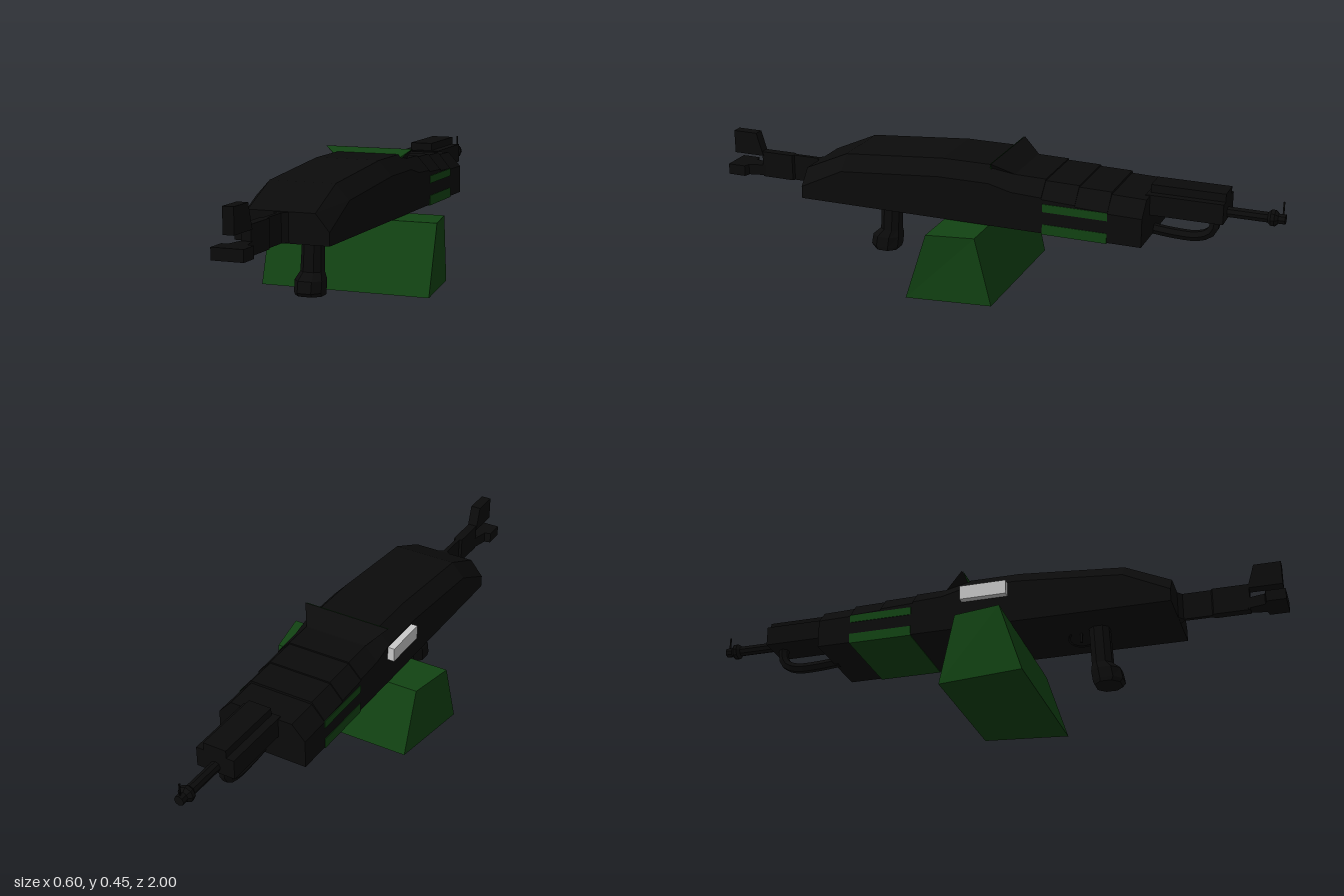
import * as THREE from 'three';

const BLACK = new THREE.MeshStandardMaterial({ color: 0x0b0b0b, flatShading: true, side: THREE.DoubleSide });
const GREEN = new THREE.MeshStandardMaterial({ color: 0x124413, flatShading: true });
const GREY = new THREE.MeshStandardMaterial({ color: 0xcccccc, flatShading: true });

// Skin a row of rings (each counter-clockwise seen from the last ring) and cap both ends
function loft(rings) {
  const pos = [];
  const tri = (...pts) => pts.forEach((p) => pos.push(...p));
  const n = rings[0].length;
  for (let i = 0; i < rings.length - 1; i++) {
    for (let j = 0; j < n; j++) {
      const k = (j + 1) % n;
      tri(rings[i][j], rings[i][k], rings[i + 1][k]);
      tri(rings[i][j], rings[i + 1][k], rings[i + 1][j]);
    }
  }
  const first = rings[0], last = rings[rings.length - 1];
  for (let j = 1; j < n - 1; j++) {
    tri(first[0], first[j + 1], first[j]);
    tri(last[0], last[j], last[j + 1]);
  }
  const g = new THREE.BufferGeometry();
  g.setAttribute('position', new THREE.Float32BufferAttribute(pos, 3));
  g.computeVertexNormals();
  return g;
}

export function createModel() {
  const model = new THREE.Group();
  const gun = new THREE.Group();
  gun.name = 'gun';
  gun.position.x = -0.008;
  model.add(gun);

  const add = (name, geometry, material = BLACK, parent = gun) => {
    const mesh = new THREE.Mesh(geometry, material);
    mesh.name = name;
    parent.add(mesh);
    return mesh;
  };
  // Box given by its limits on each axis
  const box = (name, [x0, x1], [y0, y1], [z0, z1], material) =>
    add(name, new THREE.BoxGeometry(x1 - x0, y1 - y0, z1 - z0), material)
      .position.set((x0 + x1) / 2, (y0 + y1) / 2, (z0 + z1) / 2);

  // Ammunition box: a tapered block, narrower at the back
  add('ammoBox', loft([
    [0, 0.185, -0.105], [0.235, 0.11, -0.05],
  ].map(([y, front, back]) => {
    const w = y ? 0.27 : 0.26;
    return [[-0.3, y, front], [0.3, y, front], [w, y, back], [-w, y, back]];
  })), GREEN, model);

  // Body: chamfered sections [z, top, shoulder], stepping down towards the muzzle
  const sections = [
    [-0.575, 0.385, 0.335], [-0.46, 0.388, 0.337], [-0.46, 0.396, 0.34], [-0.35, 0.398, 0.345],
    [-0.35, 0.403, 0.35], [-0.235, 0.405, 0.355], [-0.235, 0.41, 0.36], [-0.13, 0.412, 0.365],
    [-0.05, 0.435, 0.385], [0.13, 0.435, 0.385], [0.49, 0.405, 0.355], [0.645, 0.335, 0.28],
  ];
  add('body', loft(sections.map(([z, top, s]) => {
    const h = 0.158, t = 0.112;
    return [[-h, 0.238, z], [h, 0.238, z], [h, s, z], [t, top, z], [-t, top, z], [-h, s, z]];
  })));

  // Rear flap: black wedge with a green face towards the front
  const wedge = (foot, tail, tip) => loft([-1, 1].map((s) => [
    [s * 0.105, 0.415, foot], [s * 0.105, 0.405, tail], [s * 0.158, 0.453, tip],
  ]));
  add('flap', wedge(-0.04, -0.14, -0.06));
  add('flapFace', wedge(-0.037, -0.045, -0.057), GREEN);

  // Green vents on both sides and the panel wrapping the underside
  for (const s of [-1, 1]) {
    const mesh = add('sideVent', new THREE.BoxGeometry(0.012, 0.027, 0.22), GREEN);
    mesh.position.set(s * 0.154, 0.3265, -0.35);
  }
  box('lowerPanel', [-0.16, 0.16], [0.235, 0.27], [-0.46, -0.24], GREEN);

  // Ejection port
  box('ejectionPort', [-0.182, -0.155], [0.333, 0.382], [-0.06, 0.1], GREY);

  // Shroud, barrel and muzzle
  box('shroud', [-0.062, 0.073], [0.32, 0.388], [-0.815, -0.56]);
  box('shroudRail', [-0.035, 0.046], [0.38, 0.415], [-0.815, -0.57]);
  const barrel = add('barrel', new THREE.LatheGeometry([
    [0, -0.8], [0.018, -0.8], [0.018, -0.945], [0.028, -0.955], [0.028, -0.967], [0.017, -0.978], [0.017, -1], [0, -1],
  ].map(([r, z]) => new THREE.Vector2(r, -z)), 8));
  barrel.rotation.x = -Math.PI / 2;
  barrel.position.set(0.006, 0.342, 0);
  box('frontSight', [0.004, 0.008], [0.355, 0.4], [-0.994, -0.989]);

  // Curved carrying handle under the shroud
  const handlePath = new THREE.CatmullRomCurve3([
    [0.25, -0.56], [0.243, -0.65], [0.245, -0.72], [0.262, -0.76], [0.29, -0.775], [0.33, -0.775],
  ].map(([y, z]) => new THREE.Vector3(0.004, y, z)));
  add('handle', new THREE.TubeGeometry(handlePath, 12, 0.018, 6));

  // Pistol grip: octagonal rings [y, zBack, zFront, halfWidth, xCentre]
  add('grip', loft([
    [0.03, 0.36, 0.445, 0.046, -0.014], [0.042, 0.355, 0.455, 0.047, -0.014], [0.08, 0.35, 0.448, 0.047, -0.014],
    [0.105, 0.352, 0.42, 0.036, -0.014], [0.25, 0.345, 0.412, 0.032, -0.012],
  ].map(([y, b, f, w, cx]) => {
    const m = w * 0.5, c = (f - b) * 0.28;
    return [[-m, f], [m, f], [w, f - c], [w, b + c], [m, b], [-m, b], [-w, b + c], [-w, f - c]]
      .map(([x, z]) => [cx + x, y, z]);
  })));

  // Trigger guard and trigger
  const guardPath = new THREE.CatmullRomCurve3([
    [0.195, 0.355], [0.19, 0.32], [0.2, 0.285], [0.222, 0.27], [0.242, 0.278],
  ].map(([y, z]) => new THREE.Vector3(0, y, z)));
  add('triggerGuard', new THREE.TubeGeometry(guardPath, 10, 0.004, 4));
  box('trigger', [-0.004, 0.004], [0.205, 0.24], [0.308, 0.316]);

  // Thin stock neck widening towards the butt
  add('stockNeck', loft([[0.64, 0.03], [0.66, 0.007], [0.755, 0.007], [0.76, 0.016], [0.88, 0.016]].map(([z, w]) =>
    [[-w, 0.24, z], [w, 0.24, z], [w, 0.333, z], [-w, 0.333, z]])));

  // Shoulder rest: upper block and lower pad, both flaring to the front
  const flare = (y0, y1, z0) => loft([[z0, 0.016], [0.93, 0.03], [0.935, 0.052], [1, 0.052]].map(([z, w]) =>
    [[-w, y0, z], [w, y0, z], [w, y1, z], [-w, y1, z]]));
  add('lowerPad', flare(0.245, 0.283, 0.87));
  add('upperRest', loft([[0.318, 0.875, 0.99], [0.333, 0.88, 0.99], [0.4, 0.9, 0.99]].map(([y, b, f]) =>
    [[-0.018, y, f], [0.018, y, f], [0.018, y, b], [-0.018, y, b]])));
  return model;
}
